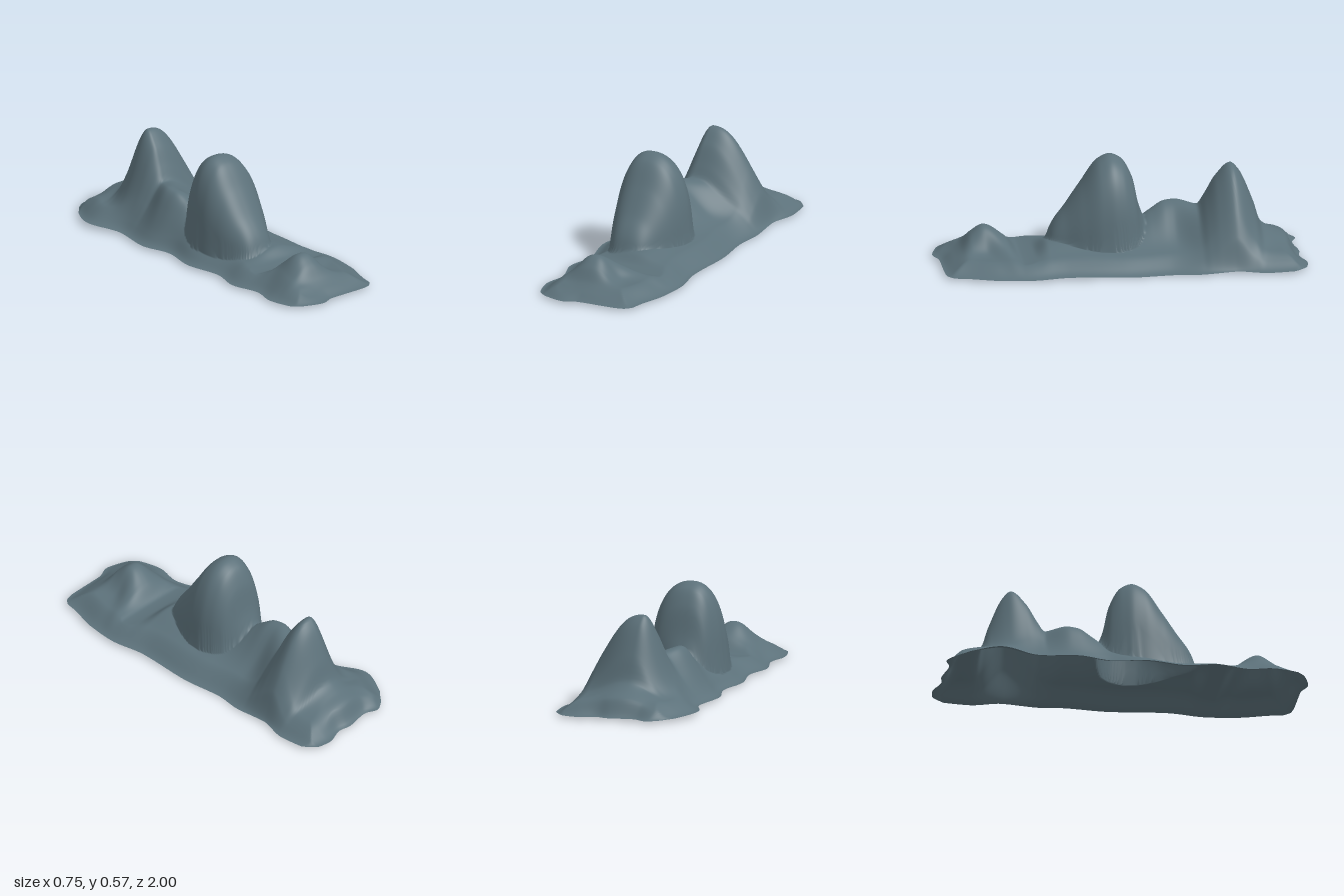
import * as THREE from 'three';

const { smoothstep, lerp, clamp } = THREE.MathUtils;
const rock = new THREE.MeshStandardMaterial({ color: 0x5c717a, side: THREE.DoubleSide });
rock.name = 'slate rock';

// Smooth curve through rows of [key, ...values], without overshoot
function sampler(rows) {
  const slope = (i, k) => (rows[i + 1][k] - rows[i][k]) / (rows[i + 1][0] - rows[i][0]);
  const tangent = (i, k) => {
    if (i === 0) return slope(0, k);
    if (i === rows.length - 1) return slope(i - 1, k);
    const a = slope(i - 1, k), b = slope(i, k);
    return a * b <= 0 ? 0 : (2 * a * b) / (a + b);
  };
  return (t, k = 1) => {
    t = clamp(t, rows[0][0], rows[rows.length - 1][0]);
    let i = 0;
    while (i < rows.length - 2 && t > rows[i + 1][0]) i++;
    const d = rows[i + 1][0] - rows[i][0], s = (t - rows[i][0]) / d, s2 = s * s, s3 = s2 * s;
    return rows[i][k] * (2 * s3 - 3 * s2 + 1) + tangent(i, k) * d * (s3 - 2 * s2 + s)
      + rows[i + 1][k] * (3 * s2 - 2 * s3) + tangent(i + 1, k) * d * (s3 - s2);
  };
}

// Wavy outline: side edges by z, end edges by u across the width
const leftEdge = sampler([[-1, -0.24], [-0.9, -0.29], [-0.7, -0.375], [-0.5, -0.315], [-0.28, -0.345], [-0.1, -0.305],
  [0.1, -0.338], [0.31, -0.305], [0.48, -0.342], [0.65, -0.305], [0.78, -0.332], [0.94, -0.295], [1, -0.25]]);
const rightEdge = sampler([[-1, 0.34], [-0.93, 0.36], [-0.78, 0.372], [-0.6, 0.33], [-0.43, 0.335], [-0.25, 0.31],
  [0, 0.33], [0.3, 0.317], [0.5, 0.342], [0.68, 0.322], [0.85, 0.27], [0.94, 0.25], [1, 0.22]]);
const backEdge = sampler([[0, -0.87], [0.06, -0.95], [0.13, -0.98], [0.27, -0.955], [0.5, -0.977], [0.6, -0.967],
  [0.8, -1], [0.92, -0.99], [1, -0.92]]);
const frontEdge = sampler([[0, 0.92], [0.06, 0.965], [0.25, 0.998], [0.45, 0.97], [0.85, 0.965], [0.95, 0.955], [1, 0.92]]);

// Ridge line height by z, without the main peak
const crest = sampler([[-1, 0.015], [-0.96, 0.04], [-0.9, 0.11], [-0.83, 0.14], [-0.77, 0.18], [-0.73, 0.3],
  [-0.65, 0.48], [-0.61, 0.515], [-0.53, 0.44], [-0.47, 0.33], [-0.43, 0.268], [-0.32, 0.283], [-0.26, 0.278],
  [-0.18, 0.235], [-0.08, 0.17], [0.05, 0.13], [0.3, 0.125], [0.39, 0.12], [0.47, 0.072], [0.54, 0.065],
  [0.62, 0.14], [0.73, 0.202], [0.8, 0.16], [0.86, 0.085], [0.93, 0.04], [1, 0.015]]);

// Ridge section by z: centre x, left width, right width, left steepness, right steepness
const section = sampler([
  [-0.95, 0.02, 0.2, 0.2, 2, 2],
  [-0.82, 0, 0.16, 0.2, 2, 2],
  [-0.72, -0.01, 0.12, 0.22, 2, 2.2],
  [-0.61, -0.03, 0.12, 0.265, 2, 2.5],
  [-0.48, -0.05, 0.12, 0.25, 2, 2.5],
  [-0.3, -0.12, 0.1, 0.18, 2.2, 2],
  [-0.17, -0.1, 0.11, 0.17, 2.2, 2],
  [0.05, -0.05, 0.18, 0.2, 3, 2],
  [0.36, 0.03, 0.16, 0.13, 2.2, 2],
  [0.54, -0.02, 0.15, 0.2, 2, 2],
  [0.73, -0.06, 0.115, 0.105, 2.5, 2.5],
  [0.95, -0.06, 0.18, 0.18, 2, 2],
]);

// Steep-walled main peak by z: height, left width, right width
const mainPeak = sampler([
  [-0.19, 0, 0.02, 0.03],
  [-0.14, 0.21, 0.085, 0.1],
  [-0.11, 0.3, 0.115, 0.15],
  [-0.08, 0.44, 0.138, 0.185],
  [-0.02, 0.545, 0.162, 0.215],
  [0.04, 0.57, 0.176, 0.228],
  [0.1, 0.545, 0.176, 0.225],
  [0.2, 0.41, 0.16, 0.195],
  [0.28, 0.292, 0.135, 0.155],
  [0.36, 0.18, 0.095, 0.11],
  [0.42, 0, 0.03, 0.04],
]);

function mainPeakHeight(x, z) {
  const dx = x + 0.07, side = dx < 0 ? 0 : 1;
  const r = Math.abs(dx) / mainPeak(z, 2 + side);
  return r < 1 ? mainPeak(z) * (1 - r ** (side ? 2.2 : 2.6)) ** 0.35 : 0;
}

function heightAt(x, z, u, edge) {
  const top = crest(z);
  const rim = 0.013 + 0.012 * (1 - u) ** 3 * Math.exp(-(((z + 0.7) / 0.15) ** 2))
    - 0.013 * u ** 4 * Math.exp(-(((z + 0.2) / 0.3) ** 2));
  const apron = rim + 0.06 * smoothstep(edge, 0, 0.14);
  const low = Math.max(rim, Math.min(apron, top));
  const dx = x - section(z, 1), side = dx < 0 ? 0 : 1;
  const bell = Math.exp(-((Math.abs(dx) / section(z, 2 + side)) ** section(z, 4 + side)));
  const fade = smoothstep(edge, -0.01, 0.07);
  return Math.max(low + Math.max(0, top - low) * bell * fade, mainPeakHeight(x, z));
}

// Open sheet of terrain on a regular grid
function terrainGeometry(cols, rows) {
  const positions = [], index = [];
  for (let j = 0; j <= rows; j++) {
    for (let i = 0; i <= cols; i++) {
      const u = i / cols;
      const z = lerp(backEdge(u), frontEdge(u), j / rows);
      const l = leftEdge(z), r = rightEdge(z);
      const x = lerp(l, r, u);
      const edge = Math.min(x - l, r - x, z - backEdge(u), frontEdge(u) - z);
      positions.push(x, Math.max(0, heightAt(x, z, u, edge)), z);
      if (i < cols && j < rows) {
        const a = j * (cols + 1) + i, c = a + cols + 1;
        index.push(a, c, a + 1, a + 1, c, c + 1);
      }
    }
  }
  const geometry = new THREE.BufferGeometry();
  geometry.setAttribute('position', new THREE.Float32BufferAttribute(positions, 3));
  geometry.setIndex(index);
  geometry.computeVertexNormals();
  return geometry;
}

export function createModel() {
  const group = new THREE.Group();
  group.name = 'mountainRidge';
  const terrain = new THREE.Mesh(terrainGeometry(110, 200), rock);
  terrain.name = 'rockyTerrain';
  group.add(terrain);
  return group;
}
